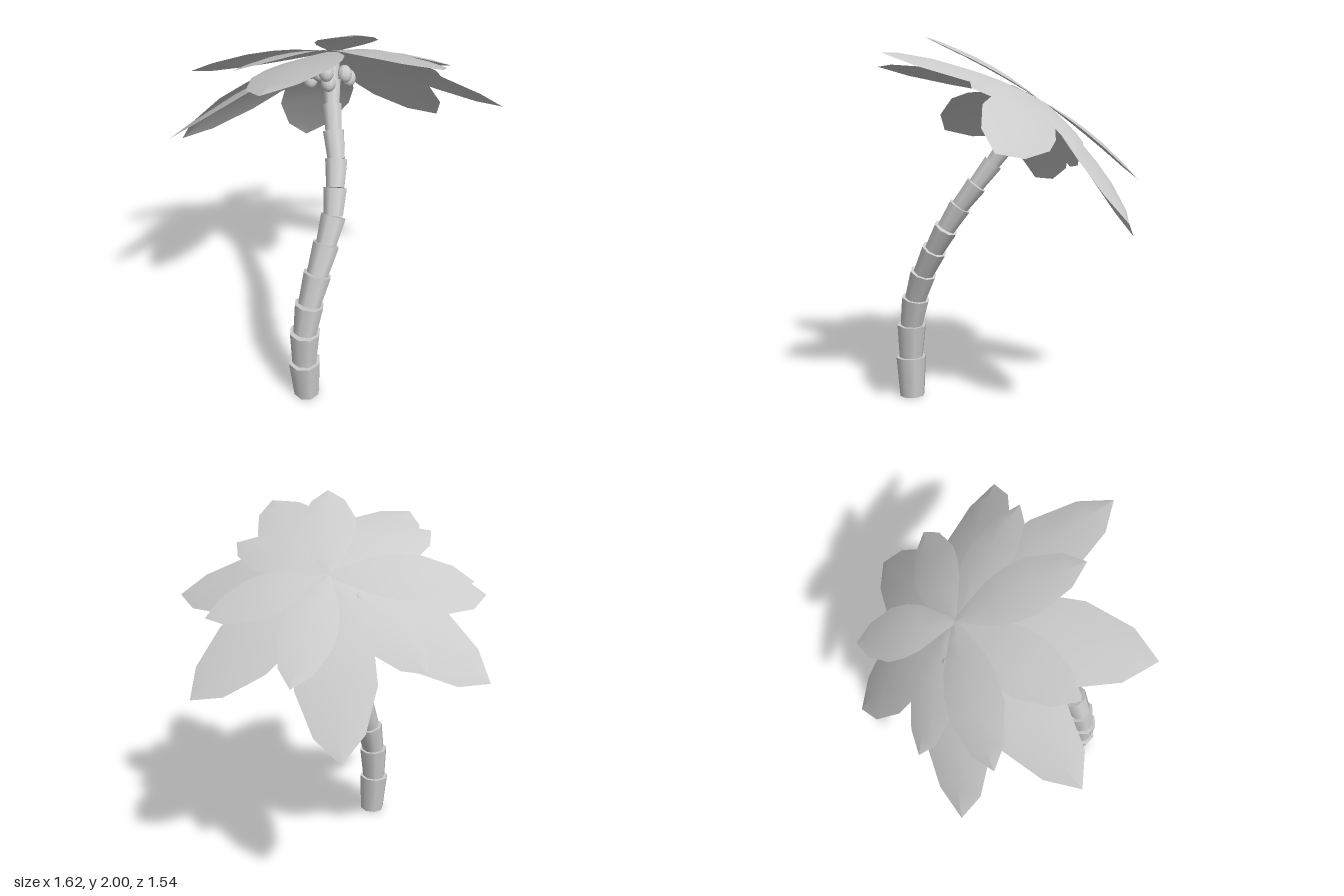
import * as THREE from 'three';

const V = (x, y, z) => new THREE.Vector3(x, y, z);
const grey = new THREE.MeshStandardMaterial({ color: 0xcccccc });
const leafMat = new THREE.MeshStandardMaterial({ color: 0xcccccc, side: THREE.DoubleSide });
const UP = V(0, 1, 0);
const CROWN = V(-0.06, 1.68, -0.16);
const CROWN_AXIS = V(-0.28, 0.82, -0.5).normalize();

// leaf outline: [position along the rib, half width as a fraction of the widest point]
const OUTLINE = [[0, 0.1], [0.12, 0.38], [0.3, 0.8], [0.45, 0.98], [0.62, 1], [0.86, 0.62], [1, 0]];

// a gently arched leaf, folded along its rib
function frond(tip) {
  const length = tip.distanceTo(CROWN);
  const bend = CROWN.clone().add(tip).multiplyScalar(0.5).addScaledVector(CROWN_AXIS, 0.1 * length);
  const rib = new THREE.QuadraticBezierCurve3(CROWN, bend, tip);
  const across = tip.clone().sub(CROWN).cross(CROWN_AXIS).normalize();
  const pos = [], index = [];
  OUTLINE.forEach(([t, w], i) => {
    const half = w * 0.21 * length;
    for (const side of [-1, 0, 1]) {
      const p = rib.getPoint(t).addScaledVector(across, side * half);
      if (side) p.addScaledVector(CROWN_AXIS, -0.14 * half);
      pos.push(p.x, p.y, p.z);
    }
    if (i === 0) return;
    for (let k = 0; k < 2; k++) {
      const a = (i - 1) * 3 + k, b = a + 3;
      index.push(a, a + 1, b, a + 1, b + 1, b);
    }
  });
  const geo = new THREE.BufferGeometry();
  geo.setAttribute('position', new THREE.Float32BufferAttribute(pos, 3));
  geo.setIndex(index);
  geo.computeVertexNormals();
  return new THREE.Mesh(geo, leafMat);
}

export function createModel() {
  const palm = new THREE.Group();
  palm.name = 'palmTree';

  // trunk: stacked flaring segments along a leaning curve
  const trunk = new THREE.Group();
  trunk.name = 'trunk';
  const joints = [
    [0.11, 0.003, 0.545], [0.103, 0.23, 0.552], [0.105, 0.42, 0.543], [0.115, 0.58, 0.508],
    [0.132, 0.735, 0.445], [0.145, 0.875, 0.367], [0.15, 1.0, 0.29], [0.127, 1.12, 0.217],
    [0.095, 1.235, 0.135], [0.045, 1.35, 0.06], [0.005, 1.46, -0.01], [-0.03, 1.56, -0.08],
    [-0.058, 1.655, -0.145],
  ].map((p) => V(...p));
  for (let i = 0; i < joints.length - 1; i++) {
    const dir = joints[i + 1].clone().sub(joints[i]);
    const top = 0.086 - 0.0037 * i;
    const segment = new THREE.Mesh(
      new THREE.CylinderGeometry(top, top * 0.82, dir.length(), 8), grey);
    segment.position.copy(joints[i]).addScaledVector(dir, 0.5);
    segment.quaternion.setFromUnitVectors(UP, dir.normalize());
    segment.name = 'trunkSegment';
    trunk.add(segment);
  }
  palm.add(trunk);

  // crown: a drooping lower ring and a shorter upper ring of leaves
  const rings = {
    lowerFrond: [
      [0.33, 1.13, -0.77], [0.81, 1.48, -0.31], [0.68, 1.91, 0.33], [0.03, 1.85, 0.77],
      [-0.53, 1.47, 0.66], [-0.81, 1.17, 0.17], [-0.43, 0.92, -0.58],
    ],
    upperFrond: [
      [0.42, 1.47, -0.54], [0.59, 1.75, -0.09], [0.29, 2.0, 0.33], [-0.25, 1.81, 0.52],
      [-0.64, 1.64, 0.27], [-0.62, 1.27, -0.13], [-0.2, 1.27, -0.66],
    ],
  };
  const crown = new THREE.Group();
  crown.name = 'crown';
  for (const [name, tips] of Object.entries(rings)) {
    for (const t of tips) {
      const leaf = frond(V(...t));
      leaf.name = name;
      crown.add(leaf);
    }
  }
  palm.add(crown);

  // coconuts clustered below the leaves
  const coconuts = new THREE.Group();
  coconuts.name = 'coconuts';
  const nut = new THREE.SphereGeometry(0.04, 10, 8);
  nut.scale(0.95, 1.15, 0.95);
  const spots = [
    [0.0, 1.66, 0.05], [-0.07, 1.625, -0.01], [0.0, 1.595, 0.025], [-0.14, 1.6, -0.07],
    [-0.215, 1.565, -0.12], [-0.17, 1.52, -0.12], [0.02, 1.54, -0.185], [0.025, 1.59, -0.12],
    [-0.1, 1.54, -0.19],
  ];
  for (const s of spots) {
    const c = new THREE.Mesh(nut, grey);
    c.position.set(...s);
    c.quaternion.setFromUnitVectors(UP, CROWN_AXIS);
    c.name = 'coconut';
    coconuts.add(c);
  }
  palm.add(coconuts);
  return palm;
}
